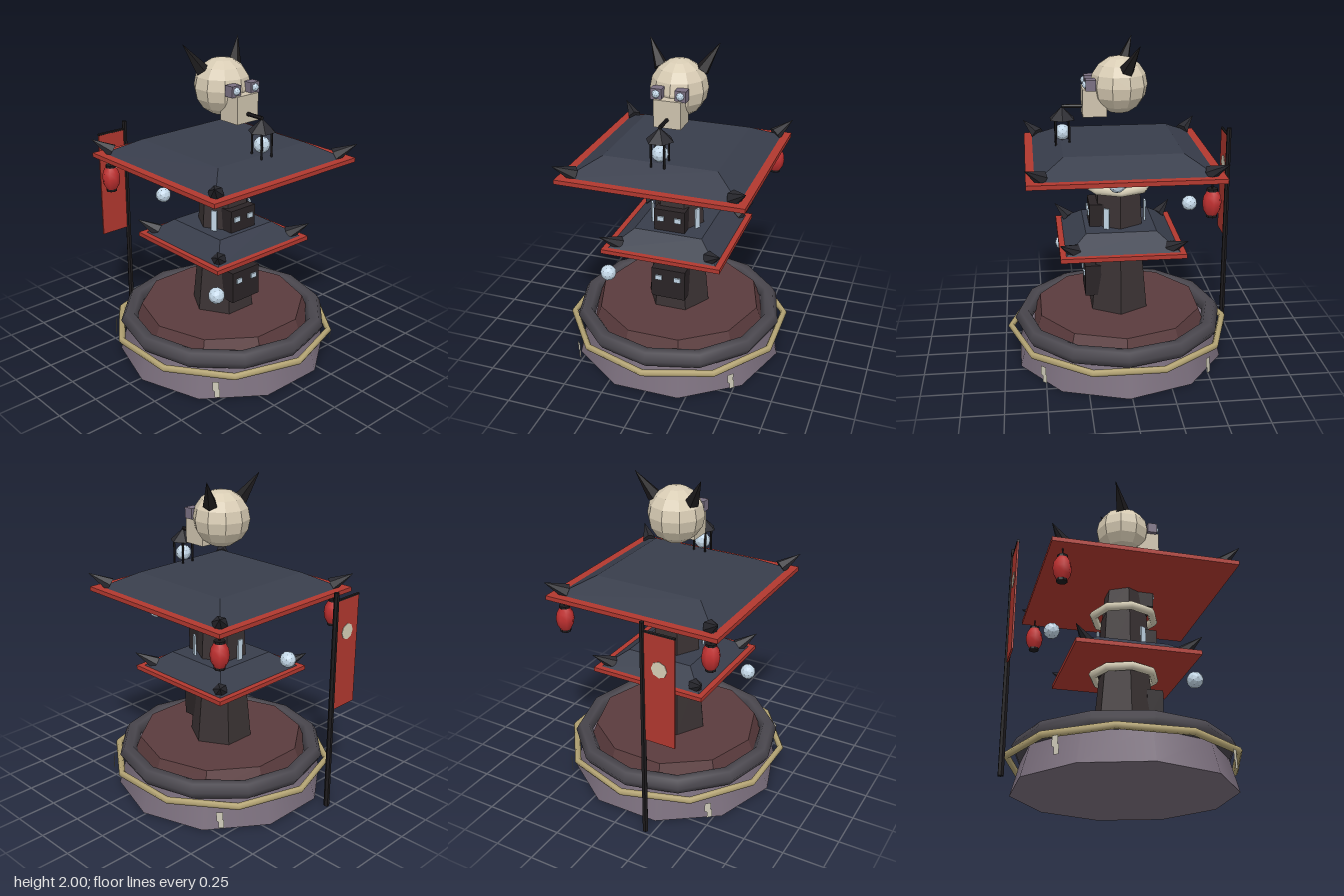
import * as THREE from 'three';

const CX = 0.017; // tower axis
const V = (x, y, z) => new THREE.Vector3(x, y, z);

const mat = (color, flat = true, side = THREE.FrontSide) =>
  new THREE.MeshStandardMaterial({ color, flatShading: flat, side });
const M = {
  stone: mat(0x7a6e7c, false), coil: mat(0x4a474e, false), gold: mat(0xb5a574, false),
  deck: mat(0x5a3b3d), tower: mat(0x3a3233), dark: mat(0x2a2426), black: mat(0x1c1a1c),
  red: mat(0xb2382f), roof: mat(0x383d4b), horn: mat(0x2a2a30), cream: mat(0xd8d0b8, false),
  bone: mat(0xd8ccb4), snout: mat(0xcfc4ae), eye: mat(0x7a7082), glow: mat(0xc4d8e8),
  crack: mat(0xd0ccba, true, THREE.DoubleSide), lantern: mat(0xc03030, false),
};

export function createModel() {
  const root = new THREE.Group();

  const add = (name, geo, m, x = 0, y = 0, z = 0, parent = root) => {
    const mesh = new THREE.Mesh(geo, m);
    mesh.name = name;
    mesh.position.set(x, y, z);
    parent.add(mesh);
    return mesh;
  };
  const box = (name, m, w, h, d, x, y, z, p) => add(name, new THREE.BoxGeometry(w, h, d), m, x, y, z, p);
  // Upright tapered prism between two heights
  const prism = (name, m, rBot, rTop, y0, y1, sides, x = CX, z = 0, p = root) =>
    add(name, new THREE.CylinderGeometry(rTop, rBot, y1 - y0, sides), m, x, (y0 + y1) / 2, z, p);
  const ring = (name, m, r, tube, y, sides) =>
    add(name, new THREE.TorusGeometry(r, tube, 6, sides).rotateX(Math.PI / 2), m, CX, y, 0);
  // Cone or rod running from one point to another
  const spike = (name, m, a, b, rA, rB, sides) => {
    const mesh = add(name, new THREE.CylinderGeometry(rB, rA, a.distanceTo(b), sides), m);
    mesh.position.copy(a).lerp(b, 0.5);
    mesh.quaternion.setFromUnitVectors(V(0, 1, 0), b.clone().sub(a).normalize());
    return mesh;
  };
  const orb = (name, x, y, z) => add(name, new THREE.IcosahedronGeometry(0.05, 1), M.glow, x, y, z);

  // Base
  prism('base', M.stone, 0.668, 0.61, 0, 0.21, 10);
  ring('goldRing', M.gold, 0.69, 0.021, 0.18, 10);
  ring('baseCoil', M.coil, 0.608, 0.055, 0.24, 12);
  prism('deck', M.deck, 0.57, 0.522, 0.2, 0.322, 10);

  // Zigzag cracks on the four diagonals
  const crack = new THREE.Shape([
    [-0.022, 0.053], [0.018, 0.053], [0.016, 0.005], [0.024, 0], [0.024, -0.053],
    [-0.008, -0.053], [-0.008, -0.012], [-0.022, -0.005],
  ].map(([x, y]) => new THREE.Vector2(x, y)));
  for (let i = 0; i < 4; i++) {
    const a = Math.PI / 4 + i * Math.PI / 2;
    add('crack', new THREE.ShapeGeometry(crack), M.crack,
      CX + 0.705 * Math.sin(a), 0.1, 0.705 * Math.cos(a)).rotation.y = a;
  }

  // Six-sided tower tiers with collars
  prism('lowerTower', M.tower, 0.2, 0.16, 0.32, 0.73, 6);
  prism('middleTower', M.tower, 0.17, 0.148, 0.73, 1.125, 6);
  prism('upperTower', M.tower, 0.143, 0.125, 1.125, 1.3, 6);
  for (const y of [0.725, 1.125]) ring('collar', M.cream, 0.194, 0.026, y, 8);

  // Bays with lit panes on the +x face: [bottom, top, outer x, half width, pane height]
  for (const [y0, y1, x, w, py] of [
    [0.42, 0.62, 0.233, 0.11, 0.56], [0.82, 1.02, 0.202, 0.098, 0.96], [1.19, 1.3, 0.187, 0.085, 1.27],
  ]) {
    box('bay', M.dark, 0.1, y1 - y0, 2 * w, x - 0.05, (y0 + y1) / 2, 0);
    for (const s of [-1, 1]) box('bayPane', M.glow, 0.02, 0.03, 0.042, x, py, s * w * 0.55);
  }
  // Tall windows on three tower faces
  for (const a of [Math.PI / 3, Math.PI, -Math.PI / 3]) {
    box('tallWindow', M.glow, 0.012, 0.15, 0.036,
      CX + 0.168 * Math.cos(a), 0.935, 0.168 * Math.sin(a)).rotation.y = -a;
  }

  // Roofs: eave, half-size, slope sizes, heights
  const roof = (name, y, half, slopeBot, slopeTop) => {
    box(name + 'Eave', M.red, 2 * half, 0.027, 2 * half, CX, y + 0.013, 0);
    const s = prism(name + 'Slope', M.roof, slopeBot * Math.SQRT2, slopeTop * Math.SQRT2, y + 0.024, y + 0.12, 4);
    s.geometry.rotateY(Math.PI / 4);
    for (const sx of [-1, 1]) for (const sz of [-1, 1]) {
      const t = half + 0.003, b = half - 0.088;
      spike(name + 'Horn', M.horn, V(CX + sx * b, y + 0.04, sz * b), V(CX + sx * t, y + 0.112, sz * t), 0.046, 0.001, 6);
    }
  };
  roof('lowerRoof', 0.76, 0.377, 0.345, 0.215);
  roof('upperRoof', 1.284, 0.566, 0.52, 0.347);

  // Head
  add('head', new THREE.SphereGeometry(0.173, 10, 8), M.bone, 0.01, 1.743, 0);
  box('snout', M.snout, 0.145, 0.165, 0.165, 0.16, 1.648, 0);
  for (const s of [-1, 1]) {
    box('eyeBlock', M.eye, 0.06, 0.066, 0.068, 0.185, 1.758, s * 0.073);
    add('pupil', new THREE.IcosahedronGeometry(0.024, 1), M.glow, 0.212, 1.76, s * 0.073);
    spike('ear', M.black, V(-0.025, 1.845, s * 0.125), V(-0.09, 2, s * 0.215), 0.045, 0.001, 5);
  }

  // Hanging lamp in front of the snout
  const lx = 0.352;
  spike('lampArm', M.black, V(0.2, 1.617, 0), V(lx, 1.617, 0), 0.012, 0.012, 6);
  prism('lampCap', M.horn, 0.083, 0.008, 1.54, 1.61, 6, lx);
  for (const sx of [-1, 1]) for (const sz of [-1, 1])
    prism('lampPost', M.black, 0.007, 0.007, 1.385, 1.55, 5, lx + sx * 0.04, sz * 0.04);
  orb('lampLight', lx, 1.46, 0);

  // Floating lights
  orb('floatingLight', -0.455, 0.94, 0.1);
  orb('floatingLight', 0.352, 0.605, 0.35);
  orb('floatingLight', 0.07, 1.27, -0.467);

  // Red lanterns under the eaves
  const body = [[0.03, -0.075], [0.05, -0.04], [0.056, 0], [0.05, 0.04], [0.03, 0.075]]
    .map(([r, y]) => new THREE.Vector2(r, y));
  for (const s of [-1, 1]) {
    const g = new THREE.Group();
    g.name = 'redLantern';
    g.position.set(-0.472, 1.15, s * 0.49);
    root.add(g);
    add('lanternBody', new THREE.LatheGeometry(body, 8), M.lantern, 0, 0, 0, g);
    prism('lanternTop', M.black, 0.033, 0.033, 0.068, 0.085, 8, 0, 0, g);
    prism('lanternBottom', M.black, 0.033, 0.033, -0.085, -0.068, 8, 0, 0, g);
    prism('lanternCord', M.black, 0.005, 0.005, 0.08, 0.14, 5, 0, 0, g);
  }

  // Banner on its pole
  const px = -0.72;
  prism('bannerPole', M.black, 0.018, 0.016, 0, 1.402, 6, px, 0.2);
  spike('bannerBar', M.black, V(px, 1.35, 0.2), V(px, 1.35, 0.405), 0.009, 0.009, 6);
  box('bannerCloth', M.red, 0.01, 0.685, 0.195, px, 1.003, 0.307);
  add('bannerDisc', new THREE.CylinderGeometry(0.05, 0.05, 0.016, 8).rotateZ(Math.PI / 2), M.cream, px, 1.14, 0.308);

  return root;
}
